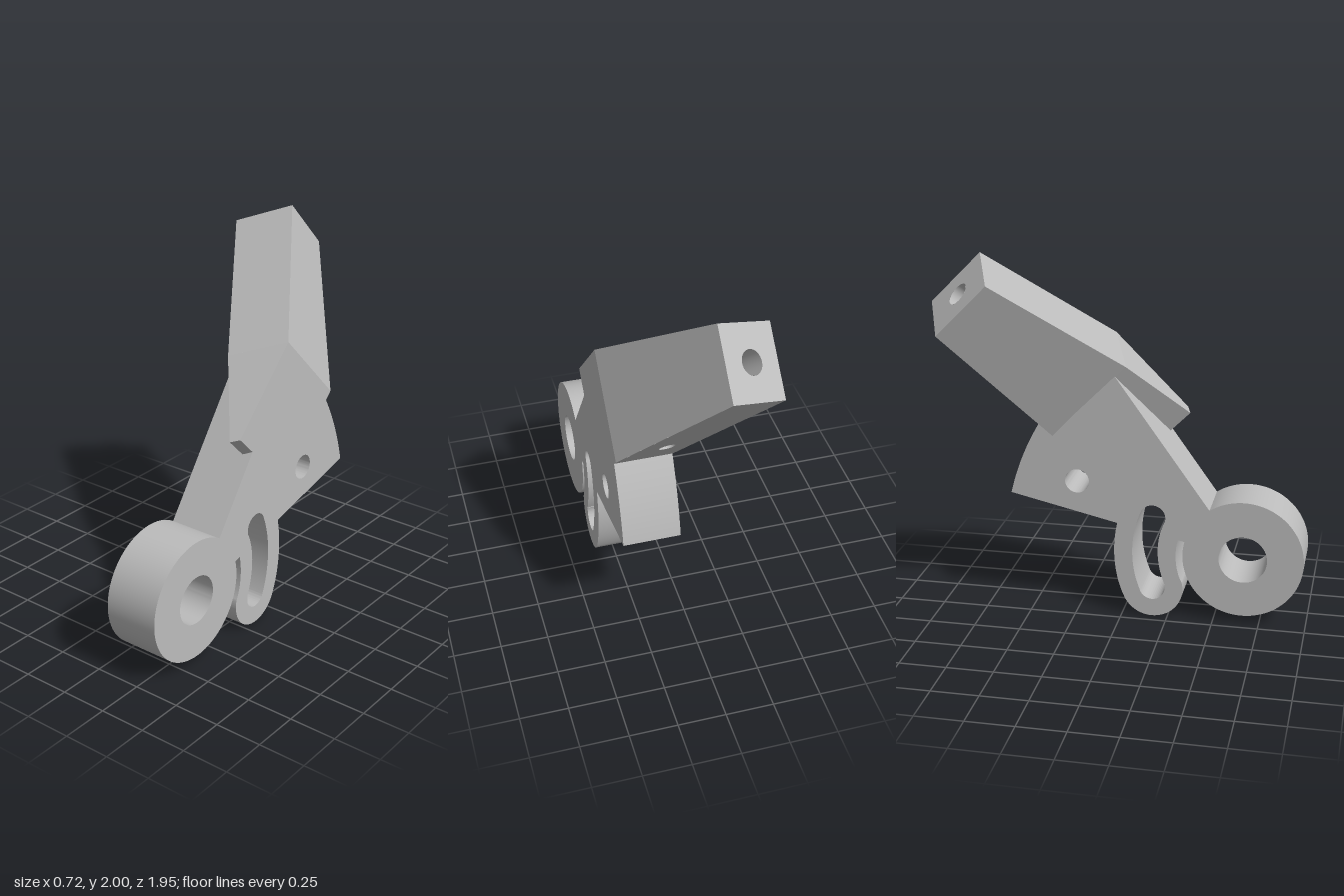
import * as THREE from 'three';
import { mergeGeometries, toCreasedNormals } from 'three/addons/utils/BufferGeometryUtils.js';

const V = (x, y, z) => new THREE.Vector3(x, y, z);
const rad = THREE.MathUtils.degToRad;

// Flat polygon through coplanar corners (counter-clockwise from outside), with an optional blind bore
function face(corners, bore) {
  const o = corners[0];
  const u = corners[1].clone().sub(o).normalize();
  const n = u.clone().cross(corners[corners.length - 1].clone().sub(o)).normalize();
  const v = n.clone().cross(u);
  const flat = (p) => {
    const d = p.clone().sub(o);
    return new THREE.Vector2(d.dot(u), d.dot(v));
  };
  const shape = new THREE.Shape(corners.map(flat));
  const parts = [];
  if (bore) {
    const c = flat(bore.at);
    shape.holes.push(new THREE.Path().absarc(c.x, c.y, bore.radius, 0, Math.PI * 2, true));
    const wall = new THREE.CylinderGeometry(bore.radius, bore.radius, bore.depth, 24, 1, true);
    wall.rotateX(Math.PI / 2).translate(c.x, c.y, -bore.depth / 2);
    const floor = new THREE.CircleGeometry(bore.radius, 24).translate(c.x, c.y, -bore.depth);
    parts.push(wall, floor);
  }
  parts.push(new THREE.ShapeGeometry(shape, 16));
  const basis = new THREE.Matrix4().makeBasis(u, v, n).setPosition(o);
  return mergeGeometries(parts).applyMatrix4(basis);
}

// Plate profile, drawn as (z, y)
function plateShape() {
  const s = new THREE.Shape();
  s.moveTo(0.47, 0.64);
  s.absarc(0.655, 0.37, 0.325, rad(124.4), rad(-194), true); // ring
  s.lineTo(0.303, 0.457); // narrow slit beside the ring
  s.bezierCurveTo(0.285, 0.38, 0.29, 0.28, 0.328, 0.21);
  s.absarc(0.165, 0.17, 0.168, rad(10), rad(-150), true); // hook
  s.bezierCurveTo(-0.04, 0.2, -0.063, 0.37, -0.027, 0.53);
  s.lineTo(-0.612, 0.665);
  s.quadraticCurveTo(-0.562, 0.88, -0.45, 1.07); // curved back
  s.lineTo(-0.38, 1.0); // joint hidden under the arm
  s.lineTo(-0.045, 1.355);
  s.closePath();

  const circle = (z, y, r) => new THREE.Path().absarc(z, y, r, 0, Math.PI * 2, false);
  const kidney = new THREE.Path();
  kidney.moveTo(0.235, 0.19);
  kidney.bezierCurveTo(0.182, 0.32, 0.182, 0.45, 0.232, 0.555);
  kidney.absarc(0.165, 0.575, 0.07, rad(-17), rad(150 - 117), false);
  kidney.absarc(0.165, 0.575, 0.07, rad(33), rad(152), false);
  kidney.bezierCurveTo(0.04, 0.46, 0.04, 0.29, 0.1, 0.145);
  kidney.absarc(0.165, 0.17, 0.07, rad(201), rad(376), false);
  s.holes.push(circle(0.655, 0.37, 0.13), circle(-0.247, 0.755, 0.066), kidney);
  return s;
}

export function createModel() {
  const model = new THREE.Group();
  const grey = new THREE.MeshStandardMaterial({ color: 0xbcbcbc, side: THREE.DoubleSide });
  grey.name = 'plain grey';
  const add = (name, geometry) => {
    const mesh = new THREE.Mesh(geometry, grey);
    mesh.name = name;
    model.add(mesh);
  };

  // Pivot plate with ring, hook and slots
  const plate = new THREE.ExtrudeGeometry(plateShape(), { depth: 0.298, bevelEnabled: false, curveSegments: 40 });
  plate.rotateY(-Math.PI / 2).translate(0.355, 0, 0);
  add('pivotPlate', toCreasedNormals(plate, 0.4));

  // Slanted arm: upper outline, and the same outline pushed down and back
  const top = [
    V(-0.36, 1.89, -0.6), V(-0.07, 2.0, -0.71), V(0.355, 1.51, -0.09),
    V(0.355, 1.115, 0.305), V(0.305, 1.096, 0.324), V(0.06, 1.4, 0.02),
  ];
  const low = top.map((p, i) => {
    const drop = i < 2 ? 0.265 : 0.4;
    return V(p.x, p.y - drop, p.z - drop);
  });
  const [A, B, C, D, E, F] = top;
  const [a, b, c, d, e, f] = low;

  const endBore = { at: A.clone().add(b).multiplyScalar(0.5), radius: 0.062, depth: 0.6 };
  const nearMid = c.clone().add(f).multiplyScalar(0.5);
  const farMid = a.clone().add(b).multiplyScalar(0.5);
  const crossBore = { at: nearMid.lerp(farMid, 0.23), radius: 0.042, depth: 0.16 };

  const faces = [face([A, F, C, B]), face([F, E, D, C]), face([a, b, c, f], crossBore), face([f, c, d, e])];
  for (let i = 0; i < 6; i++) {
    const j = (i + 1) % 6;
    faces.push(face([top[i], top[j], low[j], low[i]], i === 0 ? endBore : null));
  }
  add('slantedArm', mergeGeometries(faces));

  return model;
}
